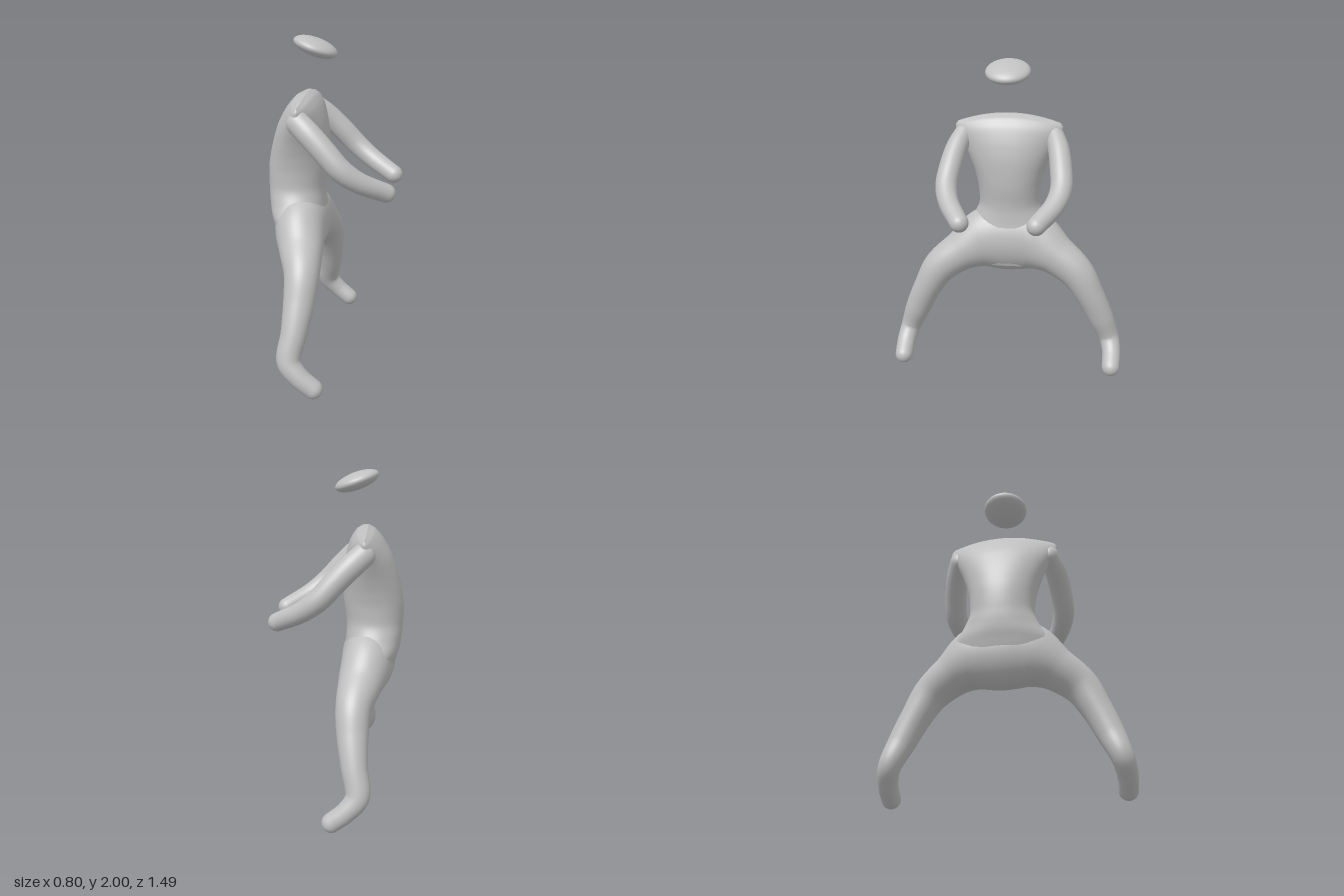
import * as THREE from 'three';

const X = new THREE.Vector3(1, 0, 0);
const Y = new THREE.Vector3(0, 1, 0);
const Z = new THREE.Vector3(0, 0, 1);

// Smooth loft through keys [x, y, z, radiusU, radiusV], closed with rounded ends.
// ref: direction of radiusU; fixed: constant section normal; capped: hemispherical ends
function loft(keys, { ref = X, fixed = null, capped = true, power = 2, steps = 64, sides = 40, bend = null } = {}) {
  const path = new THREE.CatmullRomCurve3(keys.map(k => new THREE.Vector3(k[0], k[1], k[2])));
  const radii = new THREE.CatmullRomCurve3(keys.map(k => new THREE.Vector3(k[3], k[4], 0)));
  const rings = [];
  const addRing = (s, offset, scale) => {
    const t = fixed ? fixed.clone() : path.getTangent(s);
    const r = radii.getPoint(s);
    const u = ref.clone().addScaledVector(t, -ref.dot(t)).normalize();
    const v = t.clone().cross(u);
    const c = path.getPoint(s).addScaledVector(t, offset * Math.min(r.x, r.y));
    rings.push({ c, u, v, ru: r.x * scale, rv: r.y * scale });
  };
  const CAP = 8;
  const end = capped ? 1 : 0;
  for (let i = CAP; i > 0; i--) {
    const a = (i / CAP) * Math.PI / 2;
    addRing(0, -Math.sin(a) * end, Math.max(Math.cos(a), 0.002));
  }
  for (let i = 0; i <= steps; i++) addRing(i / steps, 0, 1);
  for (let i = 1; i <= CAP; i++) {
    const a = (i / CAP) * Math.PI / 2;
    addRing(1, Math.sin(a) * end, Math.max(Math.cos(a), 0.002));
  }

  const pos = [], index = [];
  const curve = n => Math.sign(n) * Math.pow(Math.abs(n), 2 / power);
  rings.forEach(({ c, u, v, ru, rv }, i) => {
    for (let j = 0; j < sides; j++) {
      const a = (j / sides) * Math.PI * 2;
      const p = c.clone().addScaledVector(u, curve(Math.cos(a)) * ru).addScaledVector(v, curve(Math.sin(a)) * rv);
      if (bend) bend(p);
      pos.push(p.x, p.y, p.z);
      if (i < rings.length - 1) {
        const k = (j + 1) % sides;
        const a0 = i * sides + j, b0 = i * sides + k;
        index.push(a0, b0, a0 + sides, b0, b0 + sides, a0 + sides);
      }
    }
  });
  const geo = new THREE.BufferGeometry();
  geo.setAttribute('position', new THREE.Float32BufferAttribute(pos, 3));
  geo.setIndex(index);
  geo.computeVertexNormals();
  return geo;
}

export function createModel() {
  const group = new THREE.Group();
  const grey = new THREE.MeshStandardMaterial({ color: 0xc0c0c0 });
  grey.name = 'lightGrey';
  const add = (name, geo) => {
    const mesh = new THREE.Mesh(geo, grey);
    mesh.name = name;
    group.add(mesh);
    return mesh;
  };

  // Torso: stacked horizontal sections, with shoulders sloping away from the neck
  add('torso', loft([
    [-0.17, 0.70, 0, 0.10, 0.22],
    [-0.19, 0.80, 0, 0.15, 0.30],
    [-0.205, 0.90, 0, 0.165, 0.30],
    [-0.22, 1.00, 0, 0.172, 0.235],
    [-0.225, 1.10, 0, 0.175, 0.195],
    [-0.218, 1.20, 0, 0.182, 0.20],
    [-0.207, 1.30, 0, 0.178, 0.22],
    [-0.195, 1.40, 0, 0.165, 0.25],
    [-0.185, 1.50, 0, 0.14, 0.285],
    [-0.172, 1.60, 0, 0.095, 0.325],
    [-0.167, 1.65, 0, 0.055, 0.335],
    [-0.165, 1.672, 0, 0.015, 0.32],
  ], {
    fixed: Y, capped: false, power: 2.15, sides: 56,
    bend: p => { p.y -= 0.06 * THREE.MathUtils.smoothstep(p.y, 1.2, 1.65) * (p.z / 0.33) ** 2; },
  }));

  // Pelvis and both legs: one loft from foot to foot
  const leg = [
    [-0.005, 0.06, 0.685, 0.057, 0.057],
    [-0.09, 0.13, 0.685, 0.06, 0.06],
    [-0.15, 0.21, 0.665, 0.07, 0.066],
    [-0.13, 0.36, 0.605, 0.078, 0.082],
    [-0.115, 0.52, 0.53, 0.092, 0.092],
    [-0.115, 0.66, 0.445, 0.105, 0.11],
    [-0.145, 0.76, 0.315, 0.13, 0.13],
    [-0.18, 0.84, 0.16, 0.155, 0.20],
  ];
  const mirrored = leg.map(([x, y, z, a, b]) => [x, y, -z, a, b]).reverse();
  add('pelvisAndLegs', loft([...leg, [-0.19, 0.86, 0, 0.165, 0.22], ...mirrored], { steps: 140 }));

  // Arms: bent forward with the hands turned inward
  for (const [name, s] of [['leftArm', 1], ['rightArm', -1]]) {
    add(name, loft([
      [-0.165, 1.53, 0.285 * s, 0.06, 0.07],
      [-0.09, 1.465, 0.315 * s, 0.066, 0.072],
      [0.0, 1.375, 0.337 * s, 0.068, 0.071],
      [0.1, 1.27, 0.347 * s, 0.067, 0.068],
      [0.2, 1.195, 0.315 * s, 0.062, 0.062],
      [0.348, 1.117, 0.225 * s, 0.056, 0.056],
    ], { ref: Z }));
  }

  // Head: flattened disc floating above the shoulders
  const head = add('head', new THREE.SphereGeometry(0.138, 40, 28));
  head.scale.set(1, 0.38, 1);
  head.rotation.z = -0.35;
  head.position.set(-0.11, 1.932, 0);

  return group;
}
